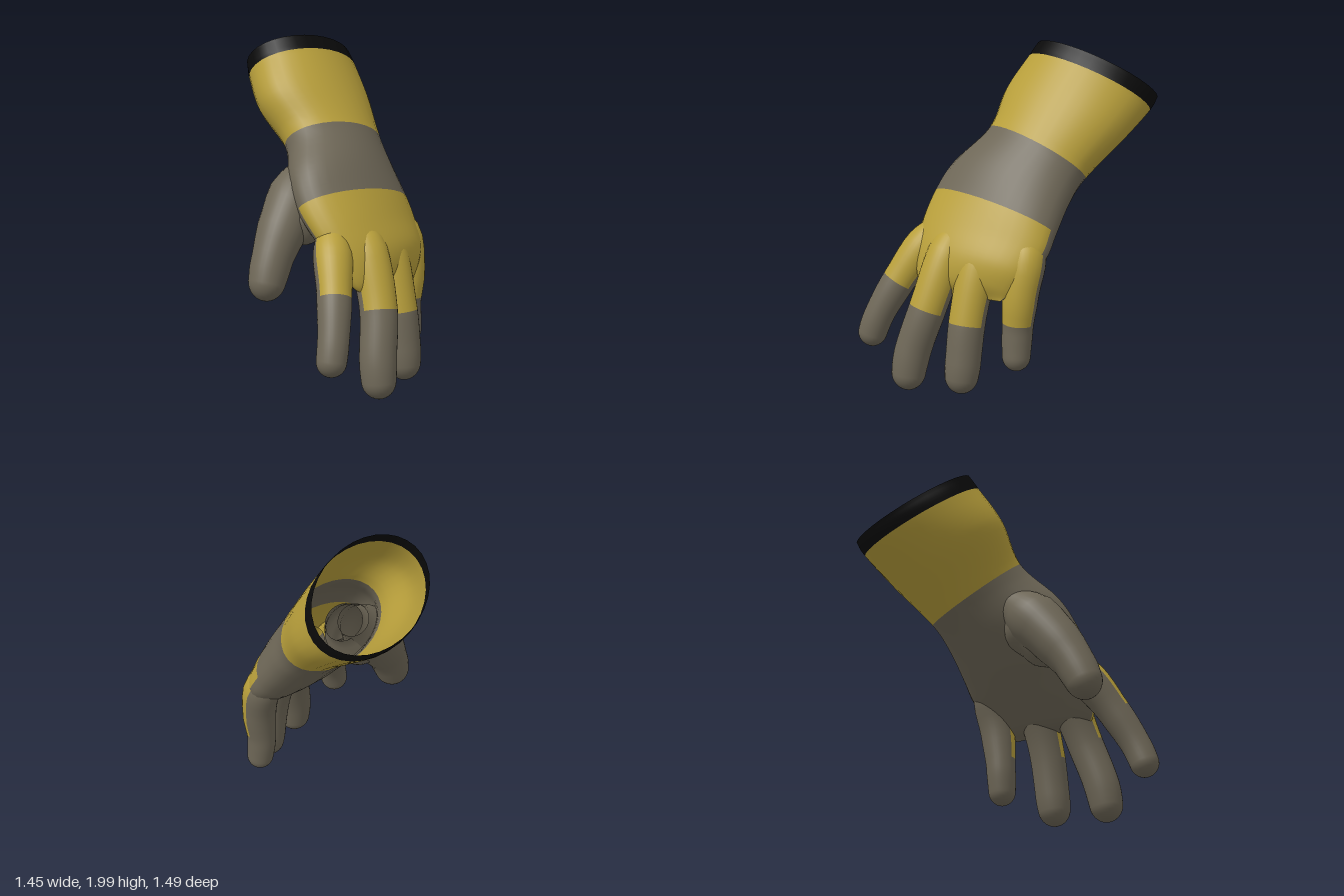
import * as THREE from 'three';

const paint = (name, color) => {
  const m = new THREE.MeshStandardMaterial({ color, side: THREE.DoubleSide });
  m.name = name;
  return m;
};
const V = (x, y, z) => new THREE.Vector3(x, y, z);
const SIDES = 32;

// Skin over rings {c, t, w}: centre, half-axis to the back of the hand, half-axis to the thumb side.
// pick(row, angle) gives the material index of each face.
function loft(name, rings, materials, pick) {
  const pos = [];
  for (const { c, t, w } of rings)
    for (let j = 0; j < SIDES; j++) {
      const a = (j / SIDES) * Math.PI * 2;
      const p = c.clone().addScaledVector(t, Math.cos(a)).addScaledVector(w, Math.sin(a));
      pos.push(p.x, p.y, p.z);
    }
  const buckets = materials.map(() => []);
  for (let i = 0; i < rings.length - 1; i++)
    for (let j = 0; j < SIDES; j++) {
      const k = (j + 1) % SIDES;
      const a = i * SIDES + j, b = i * SIDES + k, c = a + SIDES, d = b + SIDES;
      buckets[pick(i, ((j + 0.5) / SIDES) * Math.PI * 2)].push(a, b, c, b, d, c);
    }
  const geo = new THREE.BufferGeometry();
  geo.setAttribute('position', new THREE.Float32BufferAttribute(pos, 3));
  geo.setIndex(buckets.flat());
  let start = 0;
  buckets.forEach((b, m) => { geo.addGroup(start, b.length, m); start += b.length; });
  geo.computeVertexNormals();
  const mesh = new THREE.Mesh(geo, materials);
  mesh.name = name;
  return mesh;
}

// Back-of-hand part of a ring, reaching further round on the thumb side
const onBack = (a) => Math.cos(a) + 0.2 * Math.sin(a) > 0.05;

// Cuff, wrist and palm: centre, thickness half-axis, width half-axis
const BODY = [
  [-0.475, 1.81, -0.355, 0.24, 0.165, 0.06, -0.06, 0.085, 0.39],
  [-0.42, 1.735, -0.325, 0.245, 0.165, 0.05, -0.06, 0.085, 0.4],
  [-0.26, 1.56, -0.235, 0.225, 0.15, 0.03, -0.07, 0.08, 0.4],
  [-0.06, 1.35, -0.155, 0.19, 0.135, 0, -0.06, 0.09, 0.335],
  [0.08, 1.18, -0.05, 0.18, 0.13, 0, -0.05, 0.06, 0.4],
  [0.2, 1.02, -0.005, 0.165, 0.12, 0, -0.06, 0.065, 0.425],
  [0.31, 0.88, 0.01, 0.145, 0.1, 0, -0.03, 0.04, 0.425],
  [0.41, 0.75, 0.03, 0.125, 0.075, 0, -0.02, 0.02, 0.38],
  [0.47, 0.64, 0.04, 0.08, 0.045, 0, 0, 0, 0.32],
  [0.5, 0.58, 0.045, 0.005, 0.003, 0, 0, 0, 0.25],
];
const STEP = 6;

function bodyRings() {
  const curves = [0, 3, 6].map((o) =>
    new THREE.CatmullRomCurve3(BODY.map((s) => V(s[o], s[o + 1], s[o + 2])), false, 'catmullrom', 0.5));
  const n = (BODY.length - 1) * STEP;
  return Array.from({ length: n + 1 }, (_, i) => {
    const [c, t, w] = curves.map((k) => k.getPoint(i / n));
    return { c, t, w };
  });
}

// Digit: round tapering tube with a domed tip. path rows are x, y, z, radius;
// split is the height where the coloured back ends.
function digit(name, path, split, materials) {
  const curve = new THREE.CatmullRomCurve3(path.map((p) => V(p[0], p[1], p[2])));
  const radius = (s) => {
    const f = curve.getUtoTmapping(s) * (path.length - 1);
    const i = Math.min(Math.floor(f), path.length - 2);
    return THREE.MathUtils.lerp(path[i][3], path[i + 1][3], THREE.MathUtils.smoothstep(f - i, 0, 1));
  };
  let cut = 0;
  while (cut < 0.8 && curve.getPointAt(cut).y > split) cut += 0.005;
  const tip = path[path.length - 1][3] / curve.getLength();
  const rows = [];
  for (let i = 0; i < 10; i++) rows.push([(cut * i) / 10, 1]);
  for (let i = 0; i < 10; i++) rows.push([cut + ((1 - tip - cut) * i) / 10, 1]);
  for (let i = 0; i <= 8; i++) {
    const a = (i / 8) * Math.PI / 2;
    rows.push([1 - tip * (1 - Math.sin(a)), Math.max(Math.cos(a), 0.001)]);
  }
  const rings = rows.map(([s, k]) => {
    const T = curve.getTangentAt(s);
    const t = V(0, 0, 1).cross(T).normalize();
    const w = T.clone().cross(t);
    const r = radius(s) * k;
    return { c: curve.getPointAt(s), t: t.multiplyScalar(r), w: w.multiplyScalar(r) };
  });
  return loft(name, rings, materials, (i, a) => (i < 10 && onBack(a) ? 1 : 0));
}

export function createModel() {
  const grey = paint('grey grip', 0x6e6757);
  const yellow = paint('yellow fabric', 0xb89f3b);
  const black = paint('black trim', 0x0a0a0a);
  const glove = new THREE.Group();
  glove.name = 'glove';

  // Open sleeve split into trim, cuff and palm with a coloured back
  const rings = bodyRings();
  glove.add(
    loft('cuffTrim', rings.slice(0, STEP + 1), [black], () => 0),
    loft('cuff', rings.slice(STEP, 3 * STEP + 1), [yellow], () => 0),
    loft('palm', rings.slice(3 * STEP), [grey, yellow], (i, a) => (i >= 2 * STEP && onBack(a) ? 1 : 0)),
  );

  // Fingers, thumb and the web between thumb and palm
  const skins = [grey, yellow];
  const plain = [grey, grey];
  glove.add(
    digit('indexFinger', [[0.22, 0.99, 0.26, 0.07], [0.345, 0.8, 0.4, 0.115],
      [0.44, 0.6, 0.515, 0.1], [0.51, 0.38, 0.62, 0.09], [0.53, 0.2, 0.68, 0.085]], 0.6, skins),
    digit('middleFinger', [[0.29, 0.98, 0.13, 0.07], [0.43, 0.8, 0.18, 0.12],
      [0.555, 0.5, 0.245, 0.11], [0.61, 0.22, 0.325, 0.108], [0.64, 0.005, 0.35, 0.095]], 0.49, skins),
    digit('ringFinger', [[0.29, 0.98, -0.05, 0.07], [0.42, 0.78, -0.03, 0.12],
      [0.525, 0.47, -0.005, 0.108], [0.57, 0.2, 0.005, 0.105], [0.59, 0.02, 0.015, 0.09]], 0.43, skins),
    digit('littleFinger', [[0.26, 0.98, -0.27, 0.07], [0.36, 0.8, -0.3, 0.115],
      [0.405, 0.6, -0.285, 0.105], [0.41, 0.38, -0.267, 0.09], [0.435, 0.155, -0.27, 0.08]], 0.44, skins),
    digit('thumb', [[-0.05, 1.26, 0.07, 0.1], [-0.04, 1.08, 0.25, 0.165], [-0.03, 0.92, 0.385, 0.148],
      [-0.02, 0.75, 0.5, 0.122], [-0.01, 0.53, 0.595, 0.1]], 2, plain),
    digit('thumbWeb', [[0.02, 1.22, 0.07, 0.12], [0.03, 1.08, 0.19, 0.18],
      [0.05, 0.96, 0.27, 0.15], [0.08, 0.83, 0.34, 0.1]], 2, plain),
  );
  return glove;
}
